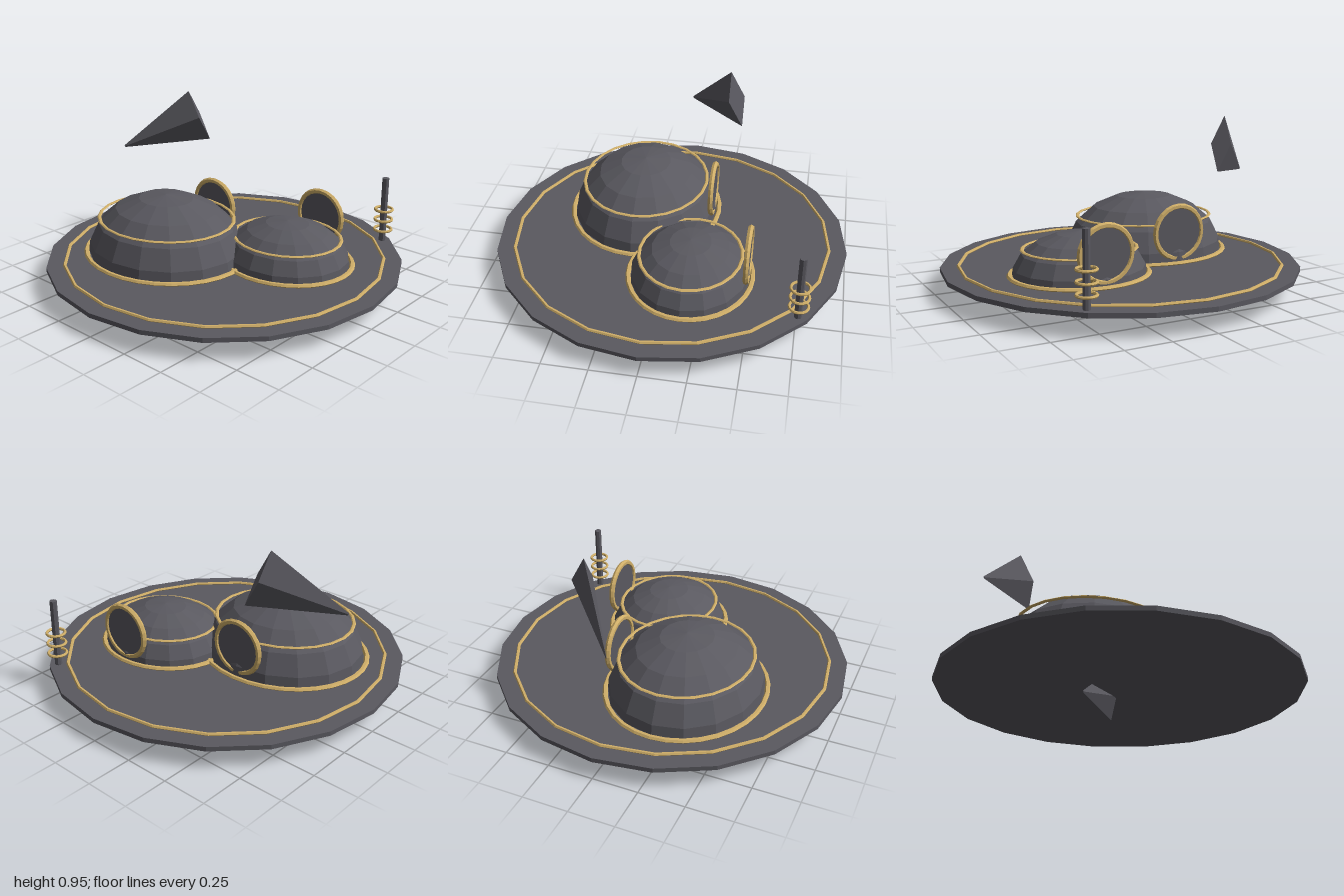
import * as THREE from 'three';

export function createModel() {
  const model = new THREE.Group();
  const slate = new THREE.MeshStandardMaterial({ color: 0x5a5960, flatShading: true });
  slate.name = 'slate';
  const gold = new THREE.MeshStandardMaterial({ color: 0xcfae68, flatShading: true });
  gold.name = 'gold';

  function add(name, geometry, material, x = 0, y = 0, z = 0, parent = model) {
    const mesh = new THREE.Mesh(geometry, material);
    mesh.name = name;
    mesh.position.set(x, y, z);
    parent.add(mesh);
    return mesh;
  }

  // Horizontal ring, squashed in height and optionally narrower in depth
  function flatRing(name, radius, tube, segments, x, y, z, squash = 1, depth = 1, parent = model) {
    const geometry = new THREE.TorusGeometry(radius, tube, 6, segments);
    geometry.rotateX(Math.PI / 2).scale(1, squash, depth);
    return add(name, geometry, gold, x, y, z, parent);
  }

  // Round platform with inlaid border
  add('platform', new THREE.CylinderGeometry(1, 1, 0.025, 20), slate, 0, 0.1225, 0);
  flatRing('platformBorder', 0.9, 0.01, 20, 0, 0.139, 0);

  // Faceted oval dome with base rim, belt and a round hatch at the back
  function dome(name, x, z, radius, height, baseRadius, beltRadius, beltY, hatchZ) {
    const group = new THREE.Group();
    group.name = name;
    group.position.set(x, 0, z);
    model.add(group);

    const profile = [0, 10, 30, 50, 70, 90].map((degrees) => {
      const a = THREE.MathUtils.degToRad(degrees);
      return new THREE.Vector2(Math.max(0, radius * Math.cos(a)), height * Math.sin(a));
    });
    const shell = new THREE.LatheGeometry(profile, 16).scale(1, 1, 0.9);
    add('domeShell', shell, slate, 0, 0.14, 0, group);
    flatRing('domeBaseRim', baseRadius, 0.016, 32, 0, 0.14, 0, 0.8, 0.9, group);
    flatRing('domeBelt', beltRadius, 0.011, 24, 0, beltY, 0, 0.5, 0.9, group);

    const disc = new THREE.CylinderGeometry(0.148, 0.148, 0.012, 24).rotateX(Math.PI / 2);
    add('hatchDisc', disc, slate, 0, 0.31, hatchZ - z, group);
    add('hatchRim', new THREE.TorusGeometry(0.146, 0.016, 6, 24), gold, 0, 0.31, hatchZ - z, group);
  }
  dome('largeDome', -0.26, 0.2, 0.47, 0.34, 0.485, 0.4, 0.345, -0.203);
  dome('smallDome', 0.325, -0.16, 0.365, 0.23, 0.378, 0.31, 0.278, -0.472);

  // Antenna mast with three loops
  add('antennaMast', new THREE.CylinderGeometry(0.02, 0.02, 0.39, 8), slate, 0.57, 0.325, -0.76);
  for (const y of [0.205, 0.267, 0.328]) flatRing('antennaLoop', 0.05, 0.008, 16, 0.57, y, -0.76);

  // Four-sided spike from a small blunt tip to a slanted base
  function spike(name, tip, base) {
    const corners = base.map((p) => new THREE.Vector3(...p));
    const centre = new THREE.Vector3();
    corners.forEach((p) => centre.addScaledVector(p, 0.25));
    const end = new THREE.Vector3(...tip);
    const small = corners.map((p) => p.clone().sub(centre).multiplyScalar(0.04).add(end));
    const faces = [];
    const quad = (a, b, c, d) => faces.push(a, b, c, a, c, d);
    for (let i = 0; i < 4; i++) {
      const j = (i + 1) % 4;
      quad(small[i], small[j], corners[j], corners[i]);
    }
    quad(...corners);
    quad(small[3], small[2], small[1], small[0]);
    // Orient every triangle away from the middle of the spike
    const middle = centre.clone().lerp(end, 0.3);
    for (let i = 0; i < faces.length; i += 3) {
      const [a, b, c] = faces.slice(i, i + 3);
      const normal = b.clone().sub(a).cross(c.clone().sub(a));
      if (normal.dot(a.clone().sub(middle)) < 0) [faces[i + 1], faces[i + 2]] = [c, b];
    }
    const geometry = new THREE.BufferGeometry().setFromPoints(faces);
    geometry.computeVertexNormals();
    add(name, geometry, slate);
  }
  spike('floatingSpike', [-0.808, 0.607, 0.005],
    [[-0.515, 0.95, -0.255], [-0.43, 0.8, -0.255], [-0.42, 0.655, -0.338], [-0.505, 0.805, -0.338]]);
  spike('lowerSpike', [-0.268, 0.026, 0.105],
    [[-0.04, 0.24, -0.1], [0.03, 0.12, -0.1], [0.033, 0.003, -0.17], [-0.037, 0.123, -0.17]]);

  return model;
}
